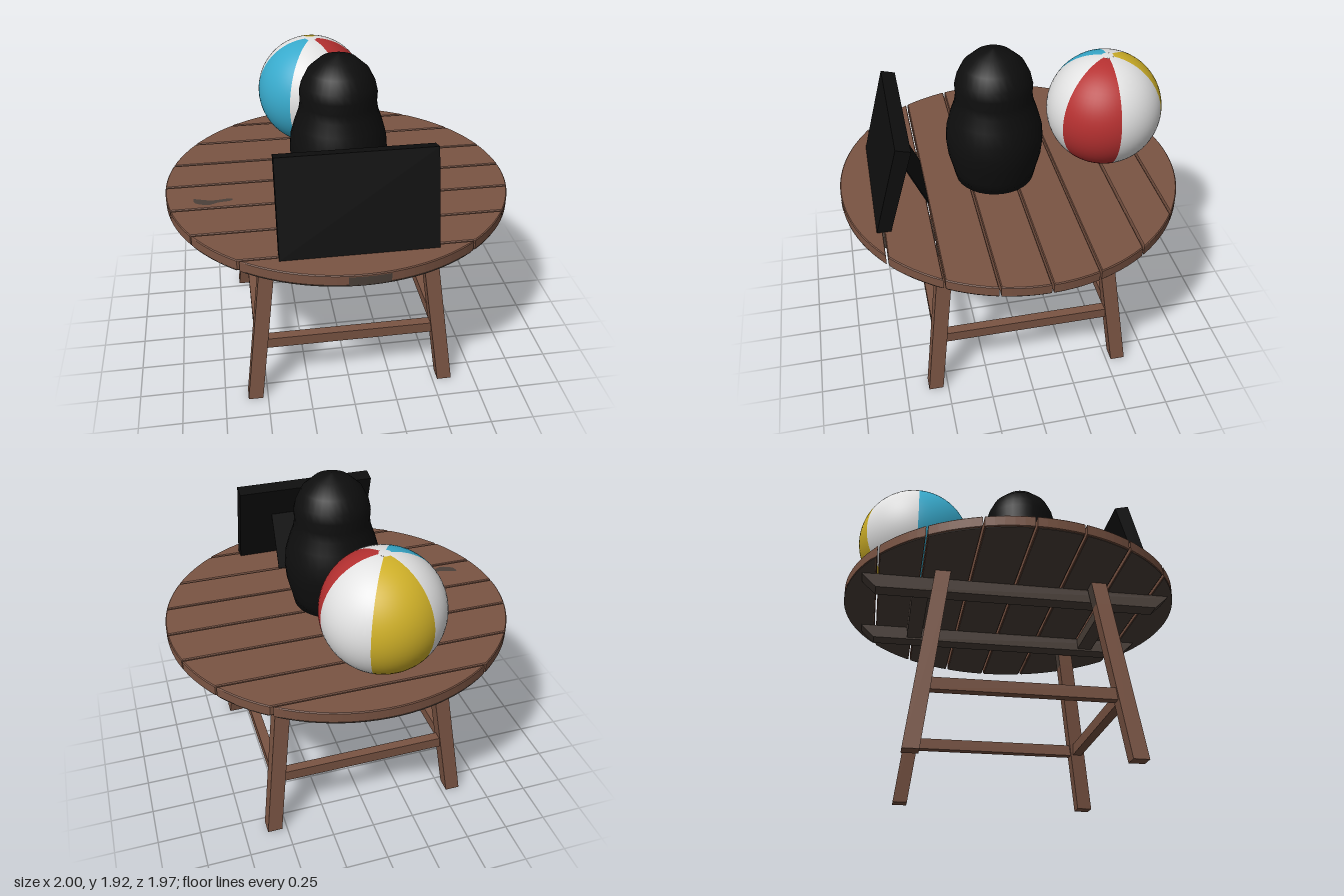
import * as THREE from 'three';

const mat = (name, color) => {
  const m = new THREE.MeshStandardMaterial({ color });
  m.name = name;
  return m;
};

export function createModel() {
  const model = new THREE.Group();
  const wood = mat('brown wood', 0x7a5443);
  const dark = mat('weathered wood', 0x4b4039);
  const black = mat('black', 0x0e0e0e);
  const white = mat('white', 0xe2e2e2);
  const red = mat('red', 0xb53030);
  const blue = mat('blue', 0x38aacc);
  const yellow = mat('yellow', 0xcfb028);

  const add = (name, geometry, material, parent = model) => {
    const mesh = new THREE.Mesh(geometry, material);
    mesh.name = name;
    parent.add(mesh);
    return mesh;
  };
  const group = (name) => {
    const g = new THREE.Group();
    g.name = name;
    model.add(g);
    return g;
  };
  const box = (w, h, d, x, y, z) => new THREE.BoxGeometry(w, h, d).translate(x, y, z);

  // Extrude a (z, y) outline along x between x0 and x1
  const extrudeX = (points, x0, x1) => {
    const shape = new THREE.Shape(points.map(([z, y]) => new THREE.Vector2(z, y)));
    return new THREE.ExtrudeGeometry(shape, { depth: x1 - x0, bevelEnabled: false })
      .rotateY(-Math.PI / 2).translate(x1, 0, 0);
  };

  // Round table top made of planks, each with a weathered underside
  const RX = 1, RZ = 0.983, GAP = 0.005;
  const plankShape = (z0, z1, inset) => {
    const limit = Math.PI / 2 - 0.03;
    const angle = (z) => THREE.MathUtils.clamp(Math.asin(THREE.MathUtils.clamp(z / RZ, -1, 1)), -limit, limit);
    const a0 = angle(z0 + inset), a1 = angle(z1 - inset);
    const n = Math.max(5, Math.ceil((a1 - a0) / 0.06));
    const right = [];
    for (let i = 0; i <= n; i++) {
      const a = a0 + (a1 - a0) * i / n;
      right.push(new THREE.Vector2((RX - inset) * Math.cos(a), -RZ * Math.sin(a)));
    }
    const left = right.map((p) => new THREE.Vector2(-p.x, p.y)).reverse();
    return new THREE.Shape([...right, ...left]);
  };
  const top = group('tableTop');
  const seams = [-1, -0.795, -0.555, -0.282, -0.02, 0.243, 0.507, 0.772, 1];
  for (let i = 0; i < seams.length - 1; i++) {
    const z0 = seams[i] + GAP, z1 = seams[i + 1] - GAP;
    const plank = new THREE.ExtrudeGeometry(plankShape(z0, z1, 0), {
      depth: 0.053, bevelThickness: 0.005, bevelSize: 0.005, bevelOffset: -0.005, bevelSegments: 1,
    });
    add('plank', plank.rotateX(-Math.PI / 2).translate(0, 1.057, 0), wood, top);
    const under = new THREE.ExtrudeGeometry(plankShape(z0, z1, 0.007), { depth: 0.004, bevelEnabled: false });
    add('plankUnderside', under.rotateX(-Math.PI / 2).translate(0, 1.049, 0), dark, top);
  }

  // Worn patches on the top and on the front rim
  const patch = new THREE.Shape(new THREE.SplineCurve([
    [-0.84, -0.13], [-0.8, -0.145], [-0.73, -0.163], [-0.63, -0.155], [-0.63, -0.18],
    [-0.7, -0.19], [-0.76, -0.21], [-0.83, -0.18], [-0.84, -0.13],
  ].map(([x, y]) => new THREE.Vector2(x, y))).getPoints(32));
  add('wornPatch', new THREE.ShapeGeometry(patch).rotateX(-Math.PI / 2).translate(0, 1.1165, 0), dark, top);
  const rimPatch = new THREE.CylinderGeometry(1.002, 1.002, 0.05, 10, 1, true, -0.085, 0.22);
  add('wornRim', rimPatch.scale(1, 1, RZ).translate(0, 1.08, 0), dark, top);

  // Support beams under the top
  const frame = group('underFrame');
  for (const s of [-1, 1]) {
    const outline = [[-0.88, 1.05], [-0.87, 1.035], [-0.8, 0.97], [0.8, 0.97], [0.87, 1.035], [0.88, 1.05]];
    add('longBeam', extrudeX(outline, s * 0.338 - 0.048, s * 0.338 + 0.048), dark, frame);
    add('crossBeam', box(0.58, 0.068, 0.09, 0, 1.015, s * 0.55), dark, frame);
  }

  // Splayed legs, weathered where they meet the top
  const spread = (y) => 0.573 - 0.127 * y;
  const legPart = (y0, y1, sx, sz) => {
    const g = box(0.086, y1 - y0, 0.086, 0, (y0 + y1) / 2, 0);
    const p = g.attributes.position;
    for (let i = 0; i < p.count; i++) {
      const d = spread(p.getY(i));
      p.setXYZ(i, p.getX(i) + sx * d, p.getY(i), p.getZ(i) + sz * d);
    }
    g.computeVertexNormals();
    return g;
  };
  const legs = group('legs');
  for (const sx of [-1, 1]) {
    for (const sz of [-1, 1]) {
      add('leg', legPart(0, 0.91, sx, sz), wood, legs);
      add('legTop', legPart(0.91, 1.05, sx, sz), [wood, wood, dark, dark, dark, dark], legs);
    }
  }

  // Stretchers on all four sides
  const rail = spread(0.36);
  for (const s of [-1, 1]) {
    add('stretcher', box(rail * 2, 0.065, 0.055, 0, 0.362, s * rail), wood, legs);
    add('stretcher', box(0.055, 0.065, rail * 2, s * rail, 0.362, 0), wood, legs);
  }

  // Beach ball with six gores and white end caps
  const ball = group('beachBall');
  ball.position.set(-0.068, 1.436, -0.588);
  const R = 0.336, CAP = 0.1;
  [blue, white, red, white, yellow, white].forEach((m, i) => {
    const gore = new THREE.SphereGeometry(R, 10, 32, i * Math.PI / 3, Math.PI / 3, CAP, Math.PI - 2 * CAP);
    add('gore', gore, m, ball);
  });
  for (const start of [0, Math.PI - CAP]) {
    add('ballCap', new THREE.SphereGeometry(R, 24, 2, 0, Math.PI * 2, start, CAP), white, ball);
  }

  // Rounded nesting-doll figure
  const profile = [
    [0, 1.116], [0.228, 1.116], [0.245, 1.19], [0.268, 1.28], [0.277, 1.37], [0.27, 1.45],
    [0.247, 1.53], [0.222, 1.6], [0.214, 1.65], [0.217, 1.71], [0.205, 1.76],
    [0.17, 1.83], [0.1, 1.892], [0, 1.921],
  ].map(([r, y]) => new THREE.Vector2(r, y));
  add('doll', new THREE.LatheGeometry(profile, 32).translate(0, 0, 0.08), black);

  // Leaning picture frame with a thin rear prop
  const picture = group('pictureFrame');
  add('panel', extrudeX([[0.73, 1.115], [0.808, 1.115], [0.672, 1.612], [0.67, 1.618], [0.668, 1.63], [0.588, 1.61]]
    .filter((_, i) => i !== 2 && i !== 3), -0.412, 0.424), black, picture);
  add('prop', extrudeX([[0.5, 1.115], [0.507, 1.115], [0.645, 1.43], [0.638, 1.43]], -0.203, 0.225), black, picture);

  return model;
}
